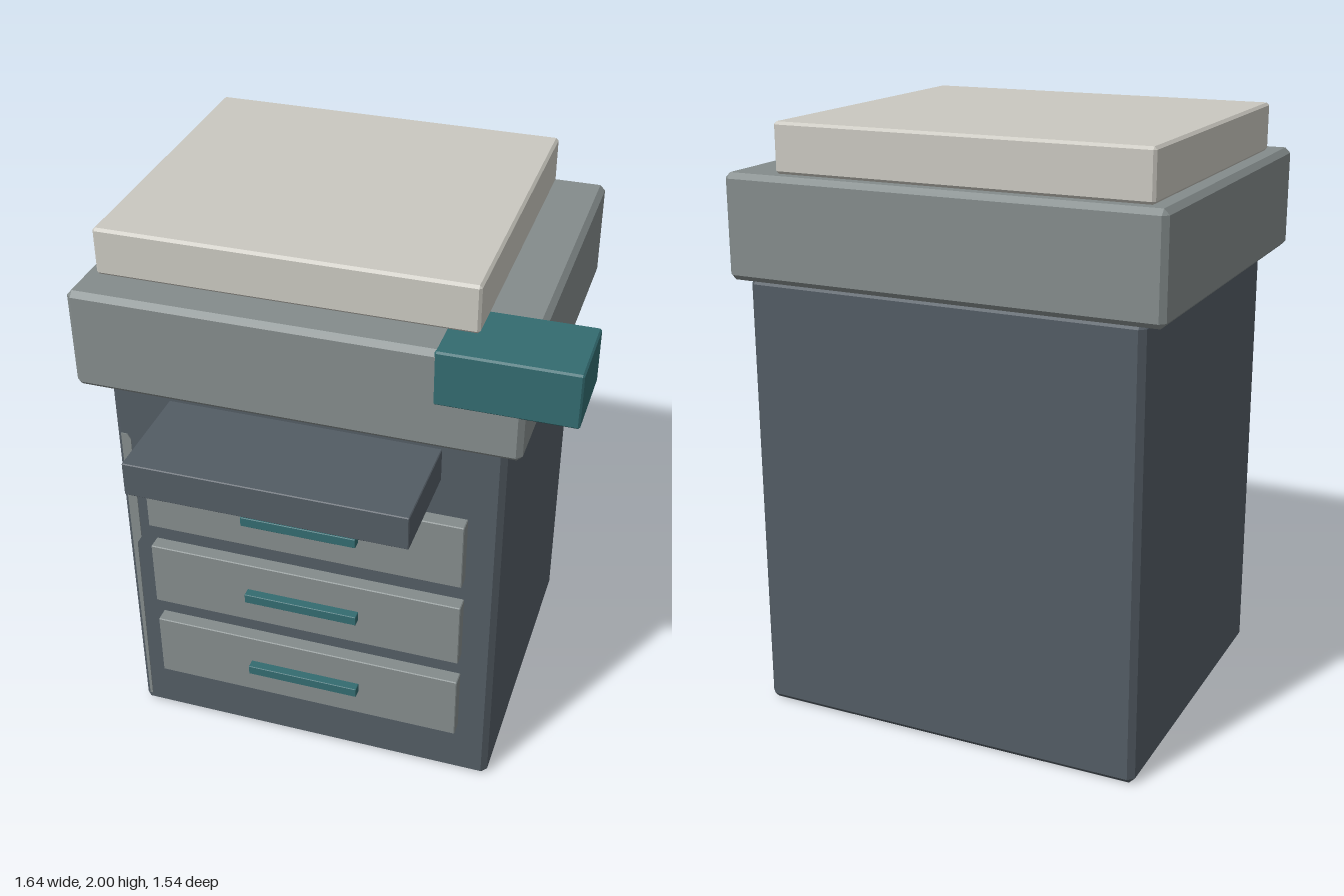
import * as THREE from 'three';
import { ConvexGeometry } from 'three/addons/geometries/ConvexGeometry.js';

const material = (name, color) => Object.assign(new THREE.MeshStandardMaterial({ color }), { name });

// Box between two corners with chamfered edges of width c
function chamferBox([x0, y0, z0], [x1, y1, z1], c) {
  const half = [(x1 - x0) / 2, (y1 - y0) / 2, (z1 - z0) / 2];
  const points = [];
  for (const sx of [-1, 1]) for (const sy of [-1, 1]) for (const sz of [-1, 1]) {
    for (let axis = 0; axis < 3; axis++) {
      const p = half.map((h, i) => (i === axis ? h : h - c));
      points.push(new THREE.Vector3(p[0] * sx, p[1] * sy, p[2] * sz));
    }
  }
  const geometry = new ConvexGeometry(points);
  geometry.translate((x0 + x1) / 2, (y0 + y1) / 2, (z0 + z1) / 2);
  return geometry;
}

export function createModel() {
  const model = new THREE.Group();
  model.name = 'copier';
  const slate = material('slate', 0x535c64);
  const grey = material('grey', 0x848c8c);
  const cream = material('cream', 0xcac8c0);
  const teal = material('teal', 0x336b70);

  function add(name, geometry, mat) {
    const mesh = new THREE.Mesh(geometry, mat);
    mesh.name = name;
    model.add(mesh);
  }
  const box = (name, min, max, c, mat) => add(name, chamferBox(min, max, c), mat);

  // Cabinet, scanner bed and lid
  box('cabinet', [-0.755, 0, -0.752], [0.59, 1.5, 0.4], 0.02, slate);
  box('scannerBed', [-0.82, 1.49, -0.77], [0.655, 1.835, 0.51], 0.018, grey);
  box('lid', [-0.77, 1.838, -0.738], [0.48, 2, 0.382], 0.009, cream);

  // Control panel and output tray
  box('controlPanel', [0.375, 1.652, 0.23], [0.82, 1.838, 0.514], 0.006, teal);
  box('outputTray', [-0.546, 1.296, 0.36], [0.382, 1.415, 0.772], 0.003, slate);

  // Three drawers with handles
  for (let i = 0; i < 3; i++) {
    const y = 0.355 + i * 0.339;
    box('drawer', [-0.642, y - 0.125, 0.39], [0.477, y + 0.125, 0.45], 0.003, grey);
    box('drawerHandle', [-0.285, y - 0.018, 0.44], [0.12, y + 0.018, 0.482], 0.002, teal);
  }

  // Thin trim strip at the cabinet's front edge, narrower in its lower half
  const outline = [[-0.735, 0.04], [-0.725, 0.04], [-0.718, 0.78], [-0.701, 0.81],
    [-0.701, 1.23], [-0.712, 1.25], [-0.735, 1.25]];
  const trim = new THREE.ExtrudeGeometry(
    new THREE.Shape(outline.map(([x, y]) => new THREE.Vector2(x, y))),
    { depth: 0.006, bevelEnabled: false });
  trim.translate(0, 0, 0.397);
  add('trimStrip', trim, grey);

  return model;
}
